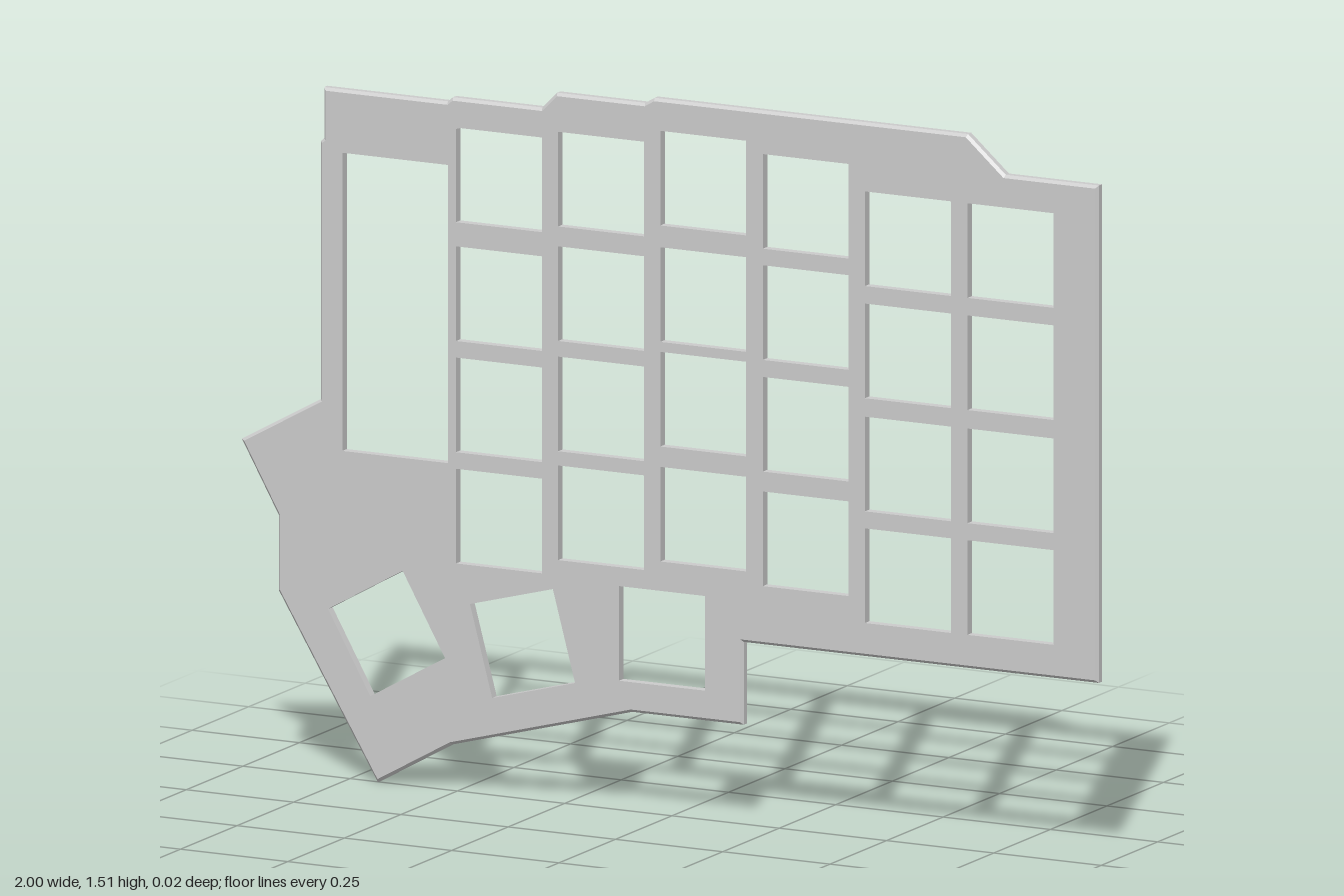
import * as THREE from 'three';

const THICKNESS = 0.02;
const CHAMFER = 0.006;
const KEY = 0.2;

// Plate outline, clockwise from the top left corner
const OUTLINE = [
  [-0.808, 1.46], [-0.52, 1.46], [-0.508, 1.47], [-0.3, 1.47], [-0.265, 1.505], [-0.06, 1.505],
  [-0.038, 1.518], [0.692, 1.518], [0.78, 1.441], [0.997, 1.441], [0.997, 0.39], [0.17, 0.39],
  [0.17, 0.215], [-0.09, 0.215], [-0.51, 0.102], [-0.683, 0.004], [-0.914, 0.386], [-0.914, 0.545],
  [-1, 0.697], [-0.816, 0.8], [-0.816, 1.345], [-0.808, 1.352],
].map(([x, y]) => new THREE.Vector2(x, y));

// Key columns: centre x and the centre heights of the four rows
const COLUMNS = [
  [-0.398, [1.308, 1.057, 0.822, 0.587]],
  [-0.16, [1.324, 1.082, 0.849, 0.619]],
  [0.078, [1.351, 1.105, 0.884, 0.641]],
  [0.317, [1.327, 1.092, 0.856, 0.614]],
  [0.555, [1.273, 1.036, 0.797, 0.561]],
  [0.794, [1.273, 1.036, 0.797, 0.561]],
];

// Thumb keys: centre x, centre y, tilt in degrees
const THUMBS = [[-0.018, 0.379, 0], [-0.343, 0.334, 15], [-0.66, 0.322, 29.5]];

function rectHole(x, y, w, h, degrees = 0) {
  const centre = new THREE.Vector2(x, y);
  const corners = [[-1, -1], [1, -1], [1, 1], [-1, 1]].map(([i, j]) =>
    new THREE.Vector2(x + (i * w) / 2, y + (j * h) / 2)
      .rotateAround(centre, THREE.MathUtils.degToRad(degrees)));
  return new THREE.Path(corners);
}

// Inward mitred offset of a clockwise polygon
function inset(points, distance) {
  const n = points.length;
  const normal = (a, b) => new THREE.Vector2(b.y - a.y, a.x - b.x).normalize();
  return points.map((p, i) => {
    const n1 = normal(points[(i + n - 1) % n], p);
    const n2 = normal(p, points[(i + 1) % n]);
    const k = distance / (1 + n1.dot(n2));
    return n1.add(n2).multiplyScalar(k).add(p);
  });
}

export function createModel() {
  const group = new THREE.Group();
  group.name = 'keyboardPlate';

  const shape = new THREE.Shape(OUTLINE);
  for (const [x, rows] of COLUMNS) {
    for (const y of rows) shape.holes.push(rectHole(x, y, KEY, KEY));
  }
  for (const [x, y, tilt] of THUMBS) shape.holes.push(rectHole(x, y, KEY, KEY, tilt));
  // Tall window beside the key columns
  shape.holes.push(rectHole(-0.64, 1.012, 0.246, 0.63));

  const geometry = new THREE.ExtrudeGeometry(shape, { depth: THICKNESS, steps: 2, bevelEnabled: false });

  // Chamfer the front rim of the outline only, leaving the holes square
  const rim = inset(OUTLINE, CHAMFER);
  const pos = geometry.attributes.position;
  for (let i = 0; i < pos.count; i++) {
    const z = pos.getZ(i);
    if (z < THICKNESS * 0.25) continue;
    if (z < THICKNESS * 0.75) {
      pos.setZ(i, THICKNESS - CHAMFER);
      continue;
    }
    const k = OUTLINE.findIndex(p => Math.hypot(p.x - pos.getX(i), p.y - pos.getY(i)) < 1e-4);
    if (k >= 0) pos.setXY(i, rim[k].x, rim[k].y);
  }
  geometry.translate(0, 0, -THICKNESS / 2);
  geometry.computeVertexNormals();

  const plate = new THREE.Mesh(geometry, new THREE.MeshStandardMaterial({ color: 0xcccccc }));
  plate.name = 'switchPlate';
  group.add(plate);
  return group;
}
